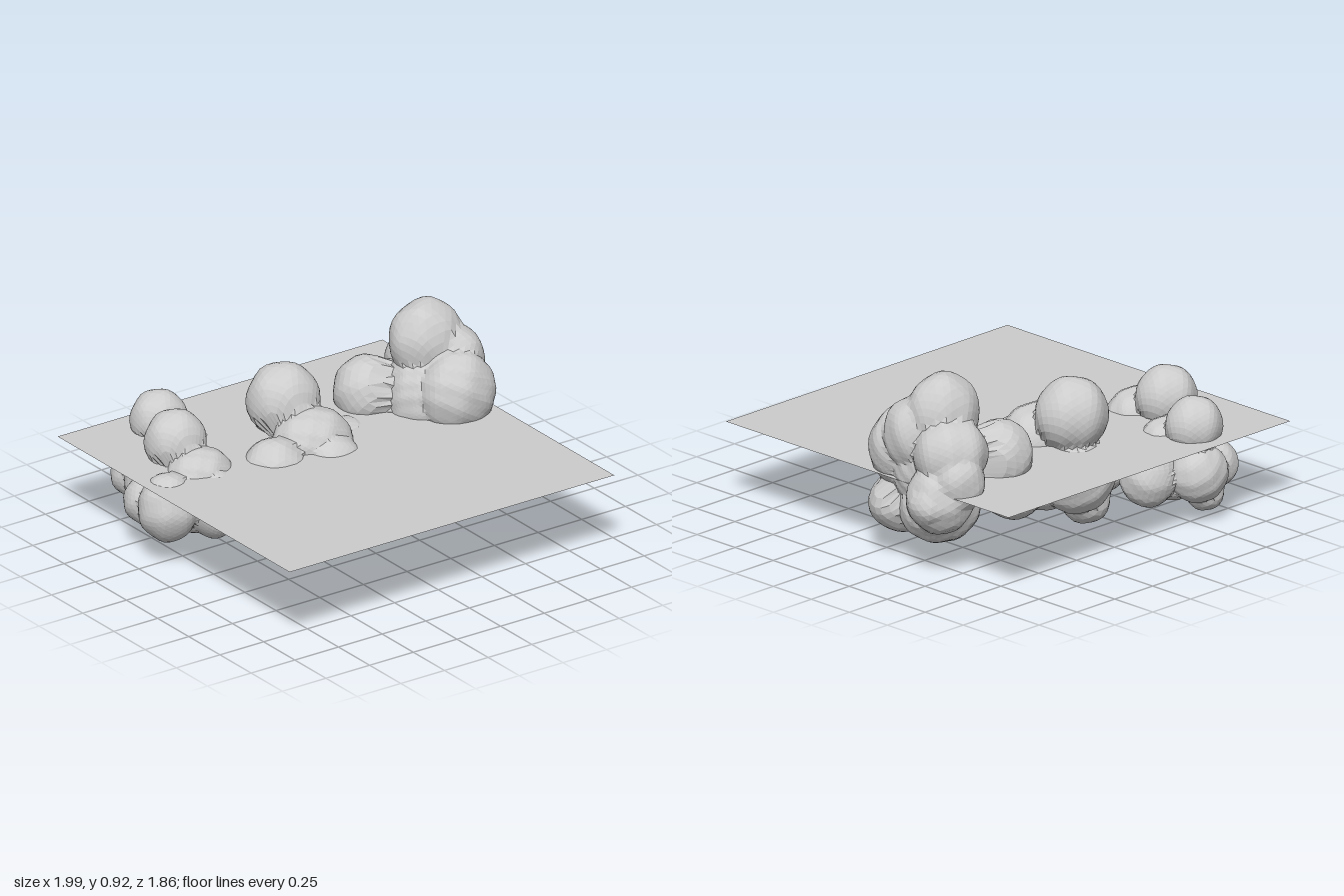
import * as THREE from 'three';

const material = new THREE.MeshStandardMaterial({ color: 0xcccccc, flatShading: true });
const sheetMaterial = new THREE.MeshStandardMaterial({ color: 0xcccccc, side: THREE.DoubleSide });

// Distance along direction d (from c) to the far side of an ellipsoid lump, or 0 when missed
function exitDistance(c, d, [x, y, z, rx, ry = rx, rz = rx]) {
  const o = new THREE.Vector3((c.x - x) / rx, (c.y - y) / ry, (c.z - z) / rz);
  const v = new THREE.Vector3(d.x / rx, d.y / ry, d.z / rz);
  const a = v.dot(v), b = o.dot(v), disc = b * b - a * (o.dot(o) - 1);
  return disc < 0 ? 0 : Math.max(0, (-b + Math.sqrt(disc)) / a);
}

// One faceted skin pulled over a cluster of lumps
function lumpySkin(centre, lumps) {
  const c = new THREE.Vector3(...centre);
  const geo = new THREE.IcosahedronGeometry(1, 13);
  const pos = geo.attributes.position;
  const d = new THREE.Vector3();
  for (let i = 0; i < pos.count; i++) {
    d.fromBufferAttribute(pos, i).normalize();
    let r = 0.06;
    for (const lump of lumps) r = Math.max(r, exitDistance(c, d, lump));
    r *= 1 + 0.015 * Math.sin(d.x * 13 + d.y * 7) * Math.sin(d.z * 12 - d.y * 9);
    pos.setXYZ(i, c.x + d.x * r, c.y + d.y * r, c.z + d.z * r);
  }
  geo.computeVertexNormals();
  return geo;
}

// Lumps: x, y, z, radius x, y, z
const lowLumps = [
  [-0.06, 0.56, -0.41, 0.18, 0.18, 0.165], // crown
  [-0.28, 0.3, -0.17, 0.17, 0.2, 0.17],    // left
  [-0.01, 0.28, -0.1, 0.17, 0.2, 0.17],    // front
  [-0.03, 0.4, -0.22, 0.2, 0.17, 0.17],    // shoulder
  [0.2, 0.26, -0.28, 0.17, 0.18, 0.17],    // right
  [-0.05, 0.27, -0.46, 0.19, 0.18, 0.16],  // back
  [-0.25, 0.26, -0.38, 0.15],              // back left
  [-0.15, 0.12, -0.41, 0.12],              // lower tip
  [-0.02, 0.2, -0.25, 0.2, 0.13, 0.2],     // underside
];

const tallLumps = [
  [0.67, 0.72, -0.29, 0.18, 0.2, 0.16],    // crown
  [0.74, 0.57, -0.41, 0.18, 0.17, 0.17],   // back shoulder
  [0.70, 0.52, -0.08, 0.19, 0.2, 0.16],    // front
  [0.69, 0.25, -0.09, 0.21, 0.15, 0.17],   // front foot
  [0.82, 0.37, -0.42, 0.16, 0.17, 0.16],   // right back
  [0.92, 0.36, -0.43, 0.08, 0.1, 0.1],     // right tip
  [0.42, 0.48, -0.41, 0.16, 0.17, 0.16],   // left
  [0.78, 0.46, -0.50, 0.13, 0.15, 0.12],   // back
  [0.70, 0.27, -0.3, 0.2, 0.17, 0.18],     // lower middle
  [0.77, 0.62, -0.2, 0.14, 0.18, 0.15],    // right shoulder
  [0.66, 0.45, -0.25, 0.22, 0.25, 0.22],   // core
];

export function createModel() {
  const model = new THREE.Group();

  // Flat sheet cutting through the clouds
  const sheet = new THREE.Mesh(new THREE.PlaneGeometry(1.86, 1.86).rotateX(-Math.PI / 2), sheetMaterial);
  sheet.position.set(-0.05, 0.42, 0);
  sheet.name = 'groundSheet';
  model.add(sheet);

  // Three copies of the low cloud: name, scale, position
  const lowCloud = lumpySkin([-0.06, 0.33, -0.29], lowLumps);
  for (const [name, s, x, y, z] of [
    ['middleCloud', 1, 0, 0, 0],
    ['rightCloud', 0.84, -0.61, 0.03, -0.09],
    ['backCloud', 0.78, -0.49, 0.03, -0.42],
  ]) {
    const cloud = new THREE.Mesh(lowCloud, material);
    cloud.name = name;
    cloud.scale.setScalar(s);
    cloud.position.set(x, y, z);
    model.add(cloud);
  }

  // Tall cloud on the left side
  const tall = new THREE.Mesh(lumpySkin([0.68, 0.46, -0.26], tallLumps), material);
  tall.name = 'tallCloud';
  model.add(tall);

  return model;
}
